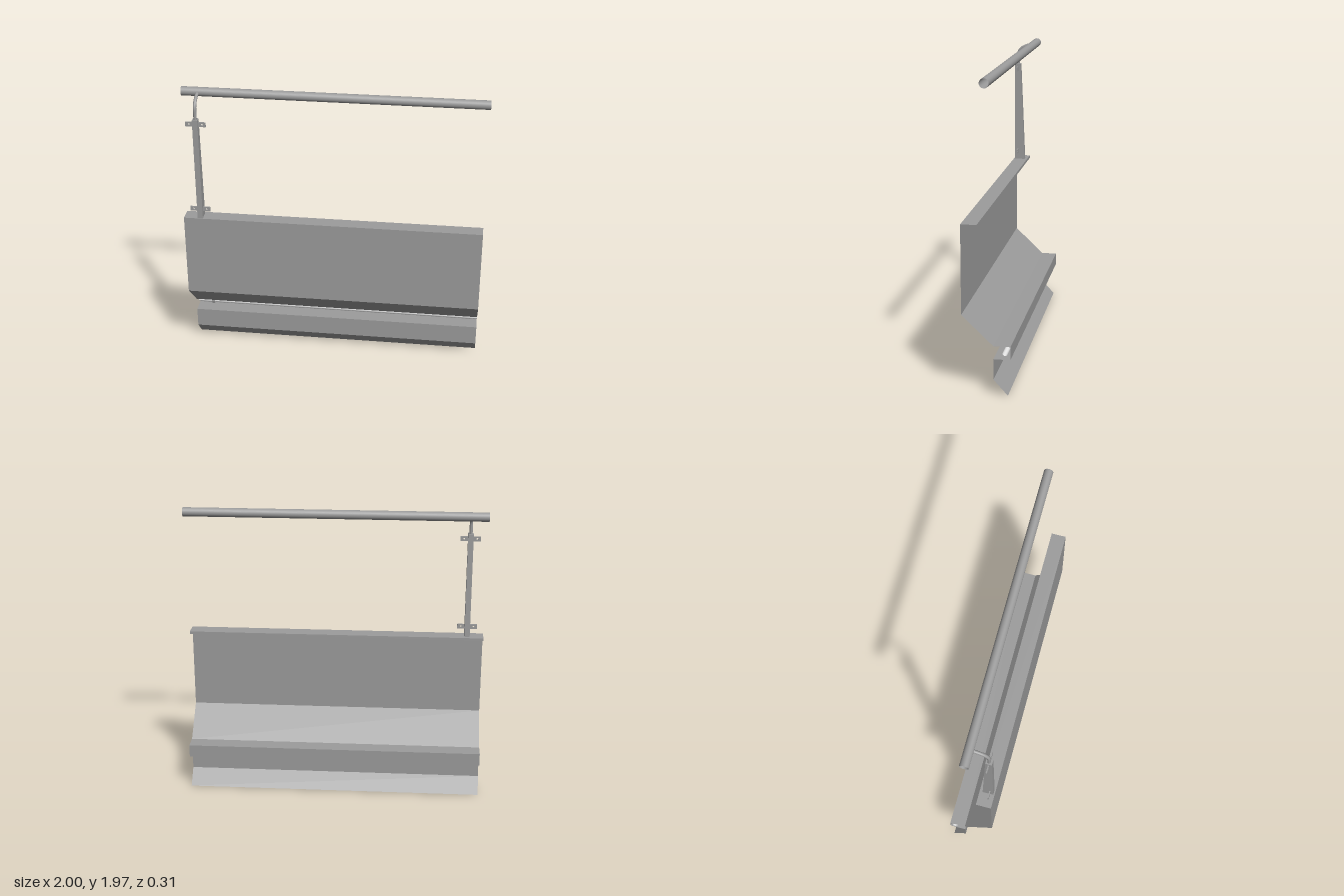
import * as THREE from 'three';

const steel = new THREE.MeshStandardMaterial({ color: 0x9c9c9c, side: THREE.DoubleSide });
steel.name = 'grey steel';
const white = new THREE.MeshStandardMaterial({ color: 0xf2f2f2, side: THREE.DoubleSide });
white.name = 'white rod';

const POST_X = -0.89;

function part(name, geometry, material = steel) {
  const mesh = new THREE.Mesh(geometry, material);
  mesh.name = name;
  return mesh;
}

// Sweeps an open [z, y] profile along x as a folded sheet with hard bends
function foldedSheet(profile, length) {
  const pos = [];
  for (let i = 0; i < profile.length - 1; i++) {
    const [za, ya] = profile[i];
    const [zb, yb] = profile[i + 1];
    const l = -length / 2, r = length / 2;
    pos.push(l, ya, za, l, yb, zb, r, yb, zb, l, ya, za, r, yb, zb, r, ya, za);
  }
  const g = new THREE.BufferGeometry();
  g.setAttribute('position', new THREE.Float32BufferAttribute(pos, 3));
  g.computeVertexNormals();
  return g;
}

// Open hollow pipe along x
function pipe(radius, y, z) {
  const g = new THREE.CylinderGeometry(radius, radius, 2, 32, 1, true);
  return g.rotateZ(Math.PI / 2).translate(0, y, z);
}

// Extrudes a [z, y] outline along x, centred on the post
function sideExtrude(shape, width) {
  const g = new THREE.ExtrudeGeometry(shape, { depth: width, bevelEnabled: false, curveSegments: 12 });
  return g.translate(0, 0, -width / 2).rotateY(-Math.PI / 2).translate(POST_X, 0, 0);
}

export function createModel() {
  const model = new THREE.Group();
  model.name = 'barrierWithHandrail';

  // Folded side panel: top flange, wall, slope, rear channel, lower wall, flare
  model.add(part('foldedPanel', foldedSheet([
    [0.05, 1.066], [0.05, 1.085], [0.15, 1.085], [0.15, 0.51], [-0.05, 0.32],
    [-0.156, 0.32], [-0.156, 0.235], [-0.05, 0.235], [-0.05, 0.10], [-0.14, 0],
  ], 2)));

  // Handrail and the light rod lying in the channel
  model.add(part('handrail', pipe(0.03, 1.94, 0)));
  model.add(part('channelRod', pipe(0.017, 0.278, -0.124), white));

  // Tapered post
  const post = new THREE.Shape([[0.07, 1.085], [0.141, 1.085], [0.141, 1.795], [0.1, 1.795]]
    .map(([z, y]) => new THREE.Vector2(z, y)));
  model.add(part('post', sideExtrude(post, 0.036)));

  // Bent arm from post to handrail
  const path = new THREE.CurvePath();
  const v = (y, z) => new THREE.Vector3(POST_X, y, z);
  path.add(new THREE.LineCurve3(v(1.78, 0.12), v(1.855, 0.12)));
  path.add(new THREE.CubicBezierCurve3(v(1.855, 0.12), v(1.9, 0.12), v(1.925, 0.085), v(1.937, 0.03)));
  model.add(part('railArm', new THREE.TubeGeometry(path, 24, 0.011, 14, false)));

  // Cross brackets with bolt holes
  for (const y of [1.145, 1.76]) {
    const plate = new THREE.Shape();
    plate.moveTo(-0.067, -0.016).lineTo(0.067, -0.016).lineTo(0.067, 0.016).lineTo(-0.067, 0.016);
    for (const x of [-0.043, 0.043]) {
      plate.holes.push(new THREE.Path().absarc(x, 0, 0.006, 0, Math.PI * 2, true));
    }
    const g = new THREE.ExtrudeGeometry(plate, { depth: 0.008, bevelEnabled: false, curveSegments: 10 });
    model.add(part('crossBracket', g.translate(POST_X, y, 0.116)));
  }

  // Hat-shaped clip holding the rod against the channel back
  const clip = new THREE.Shape();
  const cy = 0.28, cz = -0.126, outer = 0.026, inner = 0.021;
  clip.moveTo(-0.154, cy - 0.042).lineTo(-0.149, cy - 0.042).lineTo(-0.149, cy - outer).lineTo(cz, cy - outer);
  clip.absarc(cz, cy, outer, -Math.PI / 2, Math.PI / 2, false);
  clip.lineTo(-0.149, cy + outer).lineTo(-0.149, cy + 0.039).lineTo(-0.154, cy + 0.039);
  clip.lineTo(-0.154, cy + inner).lineTo(cz, cy + inner);
  clip.absarc(cz, cy, inner, Math.PI / 2, -Math.PI / 2, true);
  clip.lineTo(-0.154, cy - inner);
  model.add(part('rodClip', sideExtrude(clip, 0.02)));

  return model;
}
